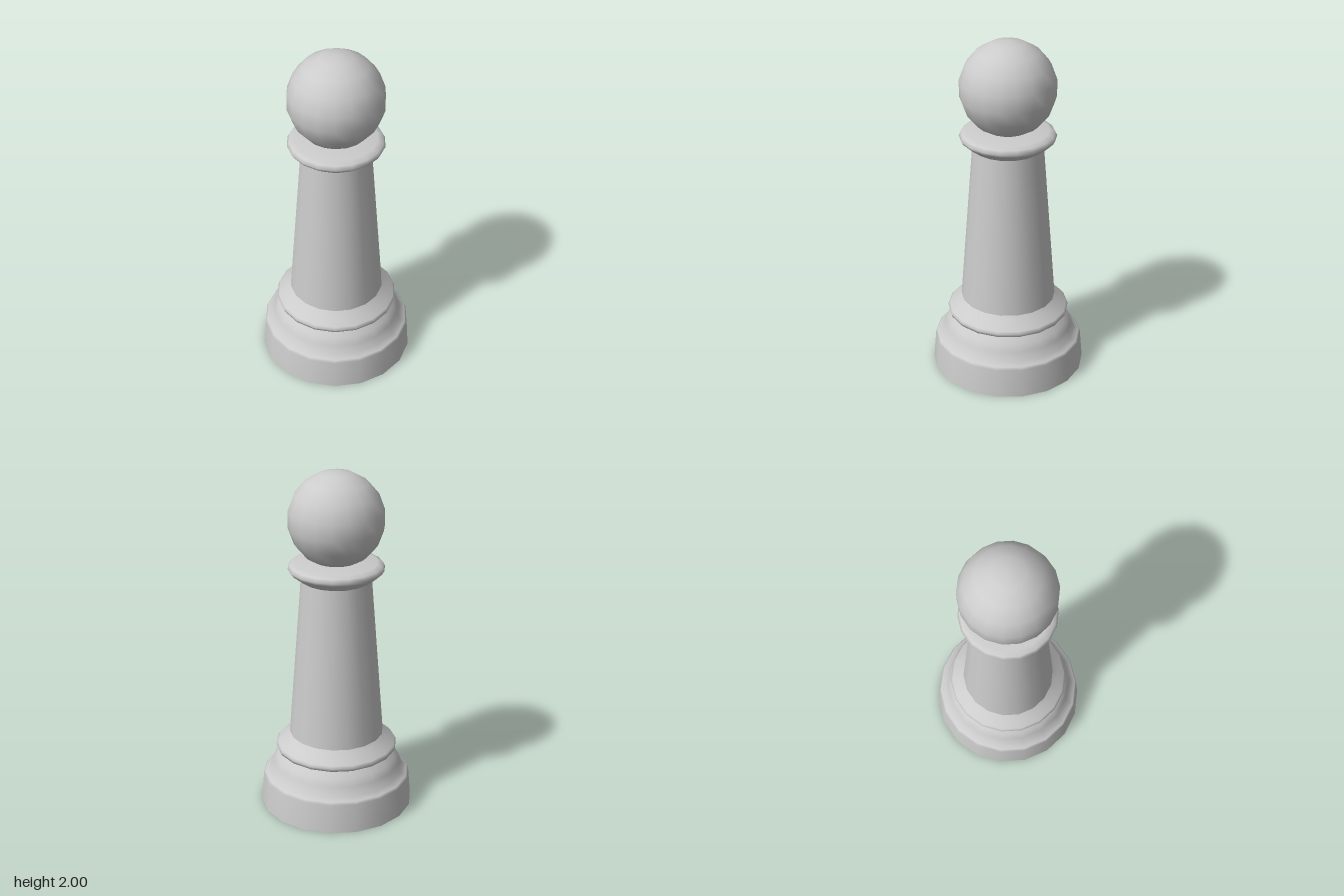
import * as THREE from 'three';

const SIDES = 18;

export function createModel() {
  const group = new THREE.Group();
  const material = new THREE.MeshStandardMaterial({ color: 0xcccccc });

  function add(name, geometry) {
    const mesh = new THREE.Mesh(geometry, material);
    mesh.name = name;
    group.add(mesh);
    return mesh;
  }

  // Turned part from a [radius, height] profile, listed from bottom to top
  function turned(name, profile) {
    const points = profile.map(([r, y]) => new THREE.Vector2(r, y));
    return add(name, new THREE.LatheGeometry(points, SIDES, Math.PI / 2));
  }

  // Stepped foot with its flat underside
  turned('underside', [[0, 0], [0.445, 0]]);
  turned('base', [[0.445, 0], [0.43, 0.17], [0.42, 0.185], [0.39, 0.2], [0.372, 0.255], [0.35, 0.295], [0.31, 0.335]]);

  // Rounded ring between foot and column
  turned('lowerRingUnderside', [[0.29, 0.33], [0.325, 0.33]]);
  turned('lowerRing', [[0.325, 0.33], [0.347, 0.343], [0.353, 0.362], [0.343, 0.375], [0.308, 0.403], [0.273, 0.44]]);

  // Tapered column
  turned('column', [[0.273, 0.44], [0.2, 1.38]]);

  // Flared collar
  turned('collarUnderside', [[0.18, 1.38], [0.2, 1.38]]);
  turned('collar', [[0.2, 1.38], [0.262, 1.428], [0.273, 1.447], [0.262, 1.468], [0.232, 1.48], [0.12, 1.492], [0, 1.492]]);

  // Ball on top
  const head = add('head', new THREE.SphereGeometry(0.272, SIDES, 9));
  head.position.y = 1.728;

  return group;
}
